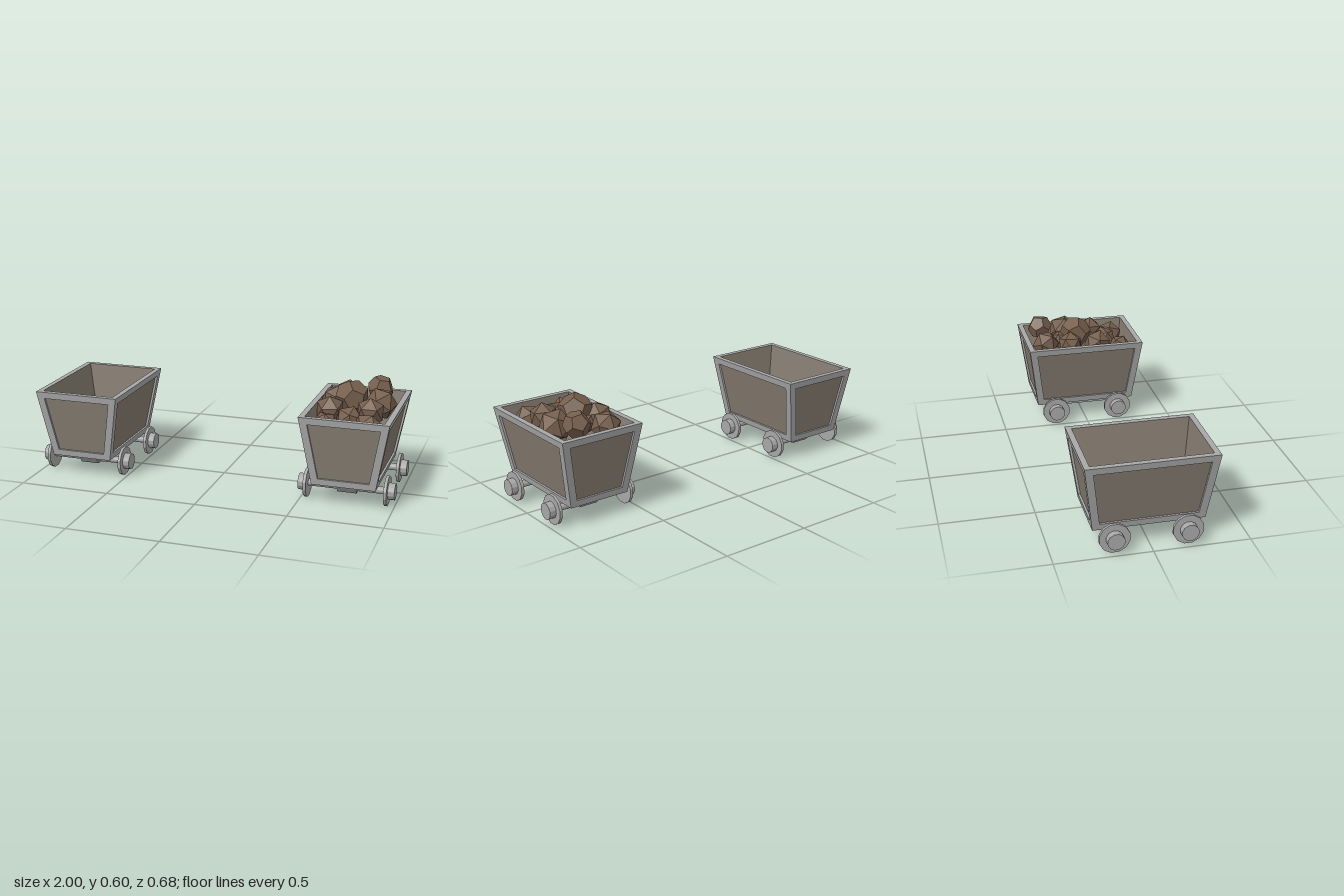
import * as THREE from 'three';

const mat = (name, color, flat = true) => {
  const m = new THREE.MeshStandardMaterial({ color, flatShading: flat });
  m.name = name;
  return m;
};

// Tub dimensions: bottom and top heights, floor, wall and border widths
const Y0 = 0.105, Y1 = 0.48, FLOOR = 0.155, WALL = 0.03, BORDER = 0.04, RECESS = 0.012;
const halfX = y => 0.17 + 0.067 * (y - Y0) / (Y1 - Y0);
const halfZ = y => 0.288 + 0.05 * (y - Y0) / (Y1 - Y0);

// Point on tub side k (0 front, 1 +x, 2 back, 3 -x): end s, height y, margin m, depth d
function sidePoint(k, s, y, m, d) {
  const across = k % 2 === 0;
  const a = s * ((across ? halfX(y) : halfZ(y)) - m);
  const n = (across ? halfZ(y) : halfX(y)) - d;
  return [[a, y, n], [n, y, -a], [-a, y, -n], [-n, y, a]][k];
}

function quadMesh(name, quads, material) {
  const pos = quads.flatMap(([a, b, c, d]) => [a, b, c, a, c, d]).flat();
  const g = new THREE.BufferGeometry();
  g.setAttribute('position', new THREE.Float32BufferAttribute(pos, 3));
  g.computeVertexNormals();
  const mesh = new THREE.Mesh(g, material);
  mesh.name = name;
  return mesh;
}

// Flared tub: metal border frames around recessed panels, open top
function makeTub(metal, panel) {
  const frame = [], panels = [], lining = [];
  const loop = (k, lo, hi, m, d) =>
    [[-1, lo], [1, lo], [1, hi], [-1, hi]].map(([s, y]) => sidePoint(k, s, y, m, d));
  for (let k = 0; k < 4; k++) {
    const outer = loop(k, Y0, Y1, 0, 0);
    const inner = loop(k, 0.14, 0.443, BORDER, 0);
    const back = loop(k, 0.14, 0.443, BORDER, RECESS);
    for (let i = 0; i < 4; i++) {
      const j = (i + 1) % 4;
      frame.push([outer[i], outer[j], inner[j], inner[i]]);
      frame.push([inner[i], inner[j], back[j], back[i]]);
    }
    panels.push(back);
    // top rim, underside rim and inside wall
    const p = (s, y, w) => sidePoint(k, s, y, w, w);
    frame.push([p(-1, Y1, 0), p(1, Y1, 0), p(1, Y1, WALL), p(-1, Y1, WALL)]);
    frame.push([p(1, Y0, 0), p(-1, Y0, 0), p(-1, Y0, WALL), p(1, Y0, WALL)]);
    lining.push([p(1, FLOOR, WALL), p(-1, FLOOR, WALL), p(-1, Y1, WALL), p(1, Y1, WALL)]);
  }
  const rect = y => [0, 2].flatMap(k => [-1, 1].map(s => sidePoint(k, s, y, WALL, WALL)));
  lining.push(rect(FLOOR));
  panels.push(rect(Y0).reverse());
  const tub = new THREE.Group();
  tub.name = 'tub';
  tub.add(quadMesh('tubFrame', frame, metal), quadMesh('tubPanels', panels, panel),
    quadMesh('tubLining', lining, panel));
  return tub;
}

// Cylinder lying along x with a flat side down
function rod(name, radius, x0, x1, y, z, sides, material) {
  const g = new THREE.CylinderGeometry(radius, radius, x1 - x0, sides);
  g.rotateY(Math.PI / sides).rotateZ(Math.PI / 2);
  const mesh = new THREE.Mesh(g, material);
  mesh.name = name;
  mesh.position.set((x0 + x1) / 2, y, z);
  return mesh;
}

function makeCart(name, metal, panel) {
  const cart = new THREE.Group();
  cart.name = name;
  cart.add(makeTub(metal, panel));

  // Central beam with ends sloping inward towards the bottom
  const s = new THREE.Shape([[-0.235, Y0], [-0.18, 0.04], [0.18, 0.04], [0.235, Y0]]
    .map(p => new THREE.Vector2(...p)));
  const g = new THREE.ExtrudeGeometry(s, { depth: 0.104, bevelEnabled: false });
  g.translate(0, 0, -0.052).rotateY(Math.PI / 2);
  const beam = new THREE.Mesh(g, metal);
  beam.name = 'chassisBeam';
  cart.add(beam);

  // Axles, wheels and hubs
  for (const z of [-0.187, 0.187]) {
    cart.add(rod('axle', 0.019, -0.21, 0.21, 0.0775, z, 12, metal));
    for (const side of [-1, 1]) {
      const span = (a, b) => side > 0 ? [a, b] : [-b, -a];
      cart.add(rod('wheel', 0.0802, ...span(0.206, 0.222), 0.0775, z, 12, metal));
      cart.add(rod('hub', 0.0447, ...span(0.222, 0.258), 0.0775, z, 12, metal));
    }
  }
  return cart;
}

export function createModel() {
  const model = new THREE.Group();
  model.name = 'mineCarts';
  const metal = mat('grey metal', 0xa8a8a8);
  const panel = mat('weathered panel', 0x857c70);
  const rock = mat('brown ore', 0x755e4d);

  const empty = makeCart('emptyCart', metal, panel);
  empty.position.x = -0.742;
  const full = makeCart('loadedCart', metal, panel);
  full.position.x = 0.742;

  // Ore lumps: x, y, z, radius, blocky or not
  const lumps = [
    [-0.094, 0.465, -0.22, 0.08, 0], [0.082, 0.51, -0.225, 0.073, 1],
    [0.114, 0.468, -0.075, 0.09, 0], [-0.14, 0.47, -0.08, 0.075, 0],
    [-0.035, 0.505, -0.03, 0.094, 1], [-0.126, 0.46, 0.085, 0.08, 0],
    [0.088, 0.465, 0.08, 0.078, 0], [-0.01, 0.435, 0.15, 0.075, 0],
    [-0.12, 0.425, 0.225, 0.065, 0], [0.1, 0.42, 0.21, 0.078, 0],
    [-0.03, 0.46, -0.125, 0.055, 0],
  ];
  const ore = new THREE.Group();
  ore.name = 'oreLoad';
  const shapes = [new THREE.IcosahedronGeometry(1, 0), new THREE.DodecahedronGeometry(1, 0)];
  lumps.forEach(([x, y, z, r, kind], i) => {
    const lump = new THREE.Mesh(shapes[kind], rock);
    lump.name = 'oreLump';
    lump.position.set(x, y, z);
    lump.scale.setScalar(r);
    lump.rotation.set(0.5 + i * 0.37, i * 1.3, 0.2 * (i % 3));
    ore.add(lump);
  });
  full.add(ore);

  model.add(empty, full);
  return model;
}
